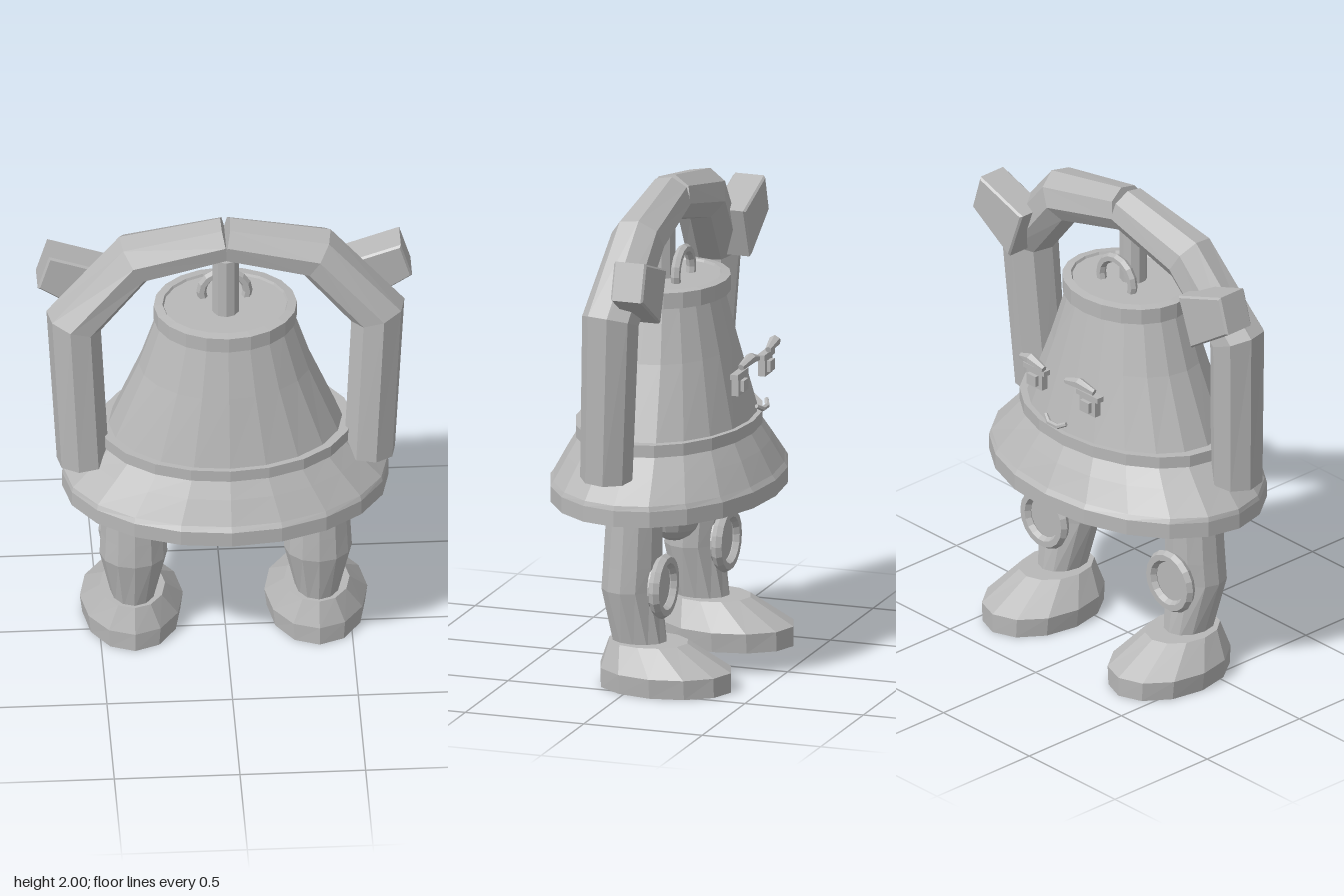
import * as THREE from 'three';

const V = (x, y, z) => new THREE.Vector3(x, y, z);

// Closed skin over a list of rings (counter-clockwise about the travel direction)
function loft(rings) {
  const pos = [];
  const tri = (a, b, c) => pos.push(...a.toArray(), ...b.toArray(), ...c.toArray());
  const n = rings[0].length;
  for (let i = 0; i < rings.length - 1; i++) {
    for (let j = 0; j < n; j++) {
      const k = (j + 1) % n;
      const a = rings[i][j], b = rings[i][k], c = rings[i + 1][k], d = rings[i + 1][j];
      tri(a, b, c);
      tri(a, c, d);
    }
  }
  const mid = (r) => r.reduce((s, p) => s.add(p), V(0, 0, 0)).divideScalar(n);
  const first = rings[0], last = rings[rings.length - 1];
  const m0 = mid(first), m1 = mid(last);
  for (let j = 0; j < n; j++) {
    const k = (j + 1) % n;
    tri(m0, first[k], first[j]);
    tri(m1, last[j], last[k]);
  }
  const g = new THREE.BufferGeometry();
  g.setAttribute('position', new THREE.Float32BufferAttribute(pos, 3));
  g.computeVertexNormals();
  return g;
}

// Stack of horizontal ellipses: [y, radiusX, radiusZ, centreZ]
function stack(levels, sides) {
  return loft(levels.map(([y, rx, rz, cz = 0]) =>
    Array.from({ length: sides }, (_, j) => {
      const a = (j / sides) * Math.PI * 2;
      return V(Math.sin(a) * rx, y, cz + Math.cos(a) * rz);
    })));
}

// Mitred bar with a polygon section along a path
function sweep(points, radii, sides, twist = 0) {
  return loft(points.map((p, i) => {
    const before = points[Math.max(i - 1, 0)], after = points[Math.min(i + 1, points.length - 1)];
    const d0 = (i ? p.clone().sub(before) : after.clone().sub(p)).normalize();
    const d1 = (i < points.length - 1 ? after.clone().sub(p) : d0.clone()).normalize();
    const t = d0.clone().add(d1).normalize();
    const u = V(0, 0, 1).cross(t).normalize();
    const v = t.clone().cross(u);
    return Array.from({ length: sides }, (_, j) => {
      const a = twist + (j / sides) * Math.PI * 2;
      return p.clone().addScaledVector(u, Math.cos(a) * radii[i]).addScaledVector(v, Math.sin(a) * radii[i]);
    });
  }));
}

export function createModel() {
  const model = new THREE.Group();
  model.name = 'bellFigure';
  const grey = new THREE.MeshStandardMaterial({ color: 0xb8b8b8 });
  grey.name = 'plain grey';
  grey.flatShading = true;
  const add = (name, geometry, x = 0, y = 0, z = 0) => {
    const mesh = new THREE.Mesh(geometry, grey);
    mesh.name = name;
    mesh.position.set(x, y, z);
    model.add(mesh);
    return mesh;
  };

  // Oval bell: flared lip, waist band, body and crown
  add('bell', stack([
    [0.72, 0.65, 0.45], [0.785, 0.65, 0.45], [0.805, 0.645, 0.435], [0.9, 0.555, 0.385], [0.97, 0.49, 0.345],
    [0.97, 0.505, 0.355], [1.02, 0.505, 0.355], [1.02, 0.465, 0.335],
    [1.31, 0.345, 0.265], [1.53, 0.275, 0.21],
    [1.525, 0.285, 0.24], [1.59, 0.285, 0.24], [1.595, 0.25, 0.205], [1.585, 0.245, 0.2],
  ], 20));

  // Hanging post and crown loop
  add('post', new THREE.CylinderGeometry(0.055, 0.055, 0.28, 10), 0, 1.71, 0.03);
  add('crownLoop', new THREE.TorusGeometry(0.092, 0.02, 6, 16), 0, 1.61, -0.06);

  // Clapper
  add('clapper', new THREE.SphereGeometry(0.115, 12, 10), 0, 0.63, -0.02).scale.y = 1.13;

  // Smiling mouth
  add('mouth', sweep([V(-0.06, 1.1, -0.39), V(-0.025, 1.082, -0.405), V(0.025, 1.082, -0.405), V(0.06, 1.1, -0.39)],
    [0.009, 0.011, 0.011, 0.009], 6));

  for (const [side, s] of [['left', 1], ['right', -1]]) {
    // Arm: half of the arch over the bell
    add(side + 'Arm', sweep([
      V(s * 0.57, 0.893, 0.06), V(s * 0.605, 1.555, 0.03), V(s * 0.365, 1.83, 0), V(0, 1.91, 0),
    ], [0.105, 0.115, 0.11, 0.093], 8, s * 0.2));

    // Shoulder block
    const block = new THREE.Shape([[0.7, 1.83], [0.745, 1.68], [0.53, 1.54], [0.455, 1.745]]
      .map(([x, y]) => new THREE.Vector2(s * x, y)));
    add(side + 'ShoulderBlock', new THREE.ExtrudeGeometry(block, {
      depth: 0.12, bevelEnabled: true, bevelThickness: 0.008, bevelSize: 0.008, bevelOffset: -0.008, bevelSegments: 1,
    }), 0, 0, -0.147);

    // Leg and foot
    const x = s * 0.367;
    add(side + 'Leg', stack([
      [0.16, 0.085, 0.112, -0.012], [0.4, 0.135, 0.117, 0.028], [0.5, 0.13, 0.117, 0.022], [0.73, 0.122, 0.112, 0.013],
    ], 12), x);
    add(side + 'Foot', stack([
      [0, 0.195, 0.275, -0.118], [0.08, 0.205, 0.275, -0.118], [0.185, 0.13, 0.165, -0.045],
    ], 12), x);

    // Knee ring and its inner disc
    add(side + 'KneeRing', new THREE.TorusGeometry(0.107, 0.025, 6, 18), x, 0.412, -0.11);
    add(side + 'KneeDisc', new THREE.CylinderGeometry(0.1, 0.1, 0.03, 18), x, 0.412, -0.09).rotation.x = Math.PI / 2;

    // Eye: lid, backing plate and pupil
    const eye = s * 0.155;
    add(side + 'EyeLid', new THREE.BoxGeometry(0.125, 0.022, 0.032), eye, 1.255, -0.352);
    add(side + 'EyePlate', new THREE.BoxGeometry(0.09, 0.075, 0.03), eye, 1.212, -0.35);
    add(side + 'Pupil', new THREE.BoxGeometry(0.05, 0.045, 0.03), eye, 1.212, -0.366);

    // Arched eyebrow
    add(side + 'Eyebrow', sweep([
      V(s * 0.065, 1.3, -0.395), V(s * 0.14, 1.318, -0.395), V(s * 0.212, 1.298, -0.38),
    ], [0.013, 0.024, 0.014], 6));
  }
  return model;
}
